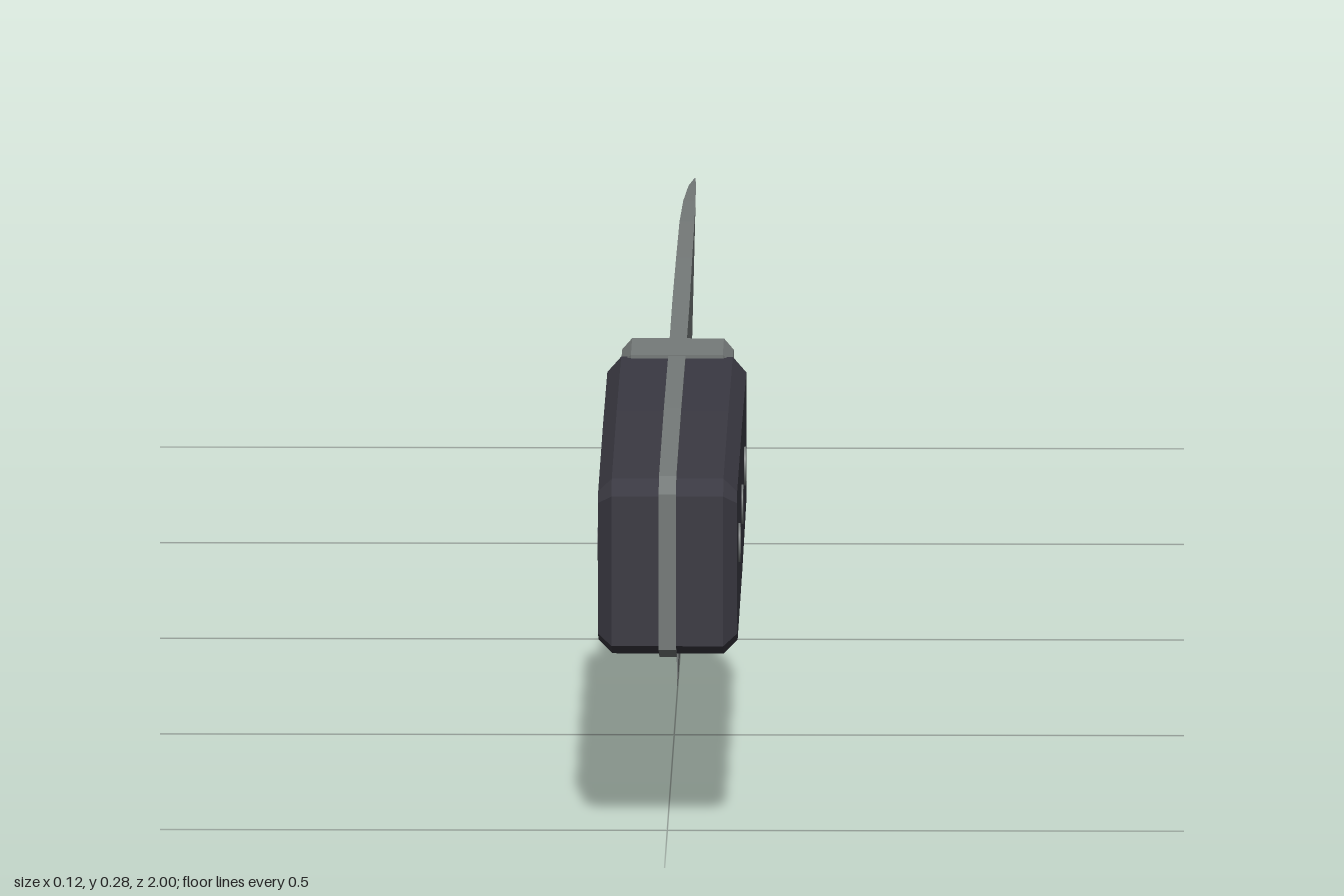
import * as THREE from 'three';

const steel = new THREE.MeshStandardMaterial({ name: 'steel', color: 0x757a79 });
const black = new THREE.MeshStandardMaterial({ name: 'handle black', color: 0x3a3942 });

// Side profile given as [z, y] points, extruded across x with chamfered rims
function slab(name, points, halfWidth, chamfer, material) {
  const shape = new THREE.Shape(points.map(([z, y]) => new THREE.Vector2(-z, y)));
  const depth = 2 * (halfWidth - chamfer);
  const geometry = new THREE.ExtrudeGeometry(shape, {
    depth,
    bevelEnabled: chamfer > 0,
    bevelSegments: 1,
    bevelSize: chamfer,
    bevelThickness: chamfer,
    bevelOffset: -chamfer,
  });
  geometry.translate(0, 0, -depth / 2);
  geometry.rotateY(Math.PI / 2);
  const mesh = new THREE.Mesh(geometry, material);
  mesh.name = name;
  return mesh;
}

// Wedge-shaped blade from triangular sections: z, spine y, edge y, spine half thickness
function blade() {
  const sections = [
    [0.265, 0.277, 0, 0.007],
    [0, 0.277, 0, 0.007],
    [-0.22, 0.277, 0.003, 0.0065],
    [-0.42, 0.275, 0.023, 0.006],
    [-0.6, 0.264, 0.063, 0.005],
    [-0.8, 0.245, 0.131, 0.003],
    [-0.92, 0.23, 0.183, 0.0015],
    [-1, 0.22, 0.219, 0.0003],
  ];
  const positions = [];
  const index = [];
  sections.forEach(([z, spine, edge, t], i) => {
    positions.push(t, spine, z, -t, spine, z, 0, edge, z);
    if (i === 0) return;
    const [l, r, e] = [3 * i - 3, 3 * i - 2, 3 * i - 1];
    const quad = (a, b, c, d) => index.push(a, b, c, a, c, d);
    quad(e, e + 3, l + 3, l);
    quad(e + 3, e, r, r + 3);
    quad(l, l + 3, r + 3, r);
  });
  const last = 3 * (sections.length - 1);
  index.push(2, 0, 1, last + 2, last + 1, last);
  const indexed = new THREE.BufferGeometry();
  indexed.setAttribute('position', new THREE.Float32BufferAttribute(positions, 3));
  indexed.setIndex(index);
  const geometry = indexed.toNonIndexed();
  geometry.computeVertexNormals();
  const mesh = new THREE.Mesh(geometry, steel);
  mesh.name = 'blade';
  return mesh;
}

export function createModel() {
  const knife = new THREE.Group();
  knife.name = 'kitchenKnife';
  knife.add(blade());

  // Handle body, with the full tang standing slightly proud of it
  const outline = [
    [0.3, 0.277], [0.62, 0.283], [0.975, 0.283], [0.999, 0.272],
    [0.999, 0.15], [0.94, 0.135], [0.6, 0.139], [0.3, 0.15],
  ];
  knife.add(slab('handle', outline, 0.056, 0.011, black));
  const tang = outline.map(([z, y]) => [z > 0.99 ? 1 : z, y + (y > 0.2 ? 0.002 : -0.003)]);
  knife.add(slab('tang', tang, 0.007, 0, steel));

  // Bolster between handle and blade
  const collar = [[0.222, 0.28], [0.309, 0.28], [0.309, 0.146], [0.222, 0.146]];
  knife.add(slab('bolster', collar, 0.045, 0.008, steel));

  // Three rivets on each side; the outer pair on the right is dark
  for (const side of [1, -1]) {
    for (const z of [0.46, 0.66, 0.86]) {
      const dark = side < 0 && z !== 0.66;
      const rivet = new THREE.Mesh(new THREE.CylinderGeometry(0.016, 0.016, 0.008, 12), dark ? black : steel);
      rivet.name = side > 0 ? 'leftRivet' : 'rightRivet';
      rivet.rotation.z = -side * Math.PI / 2;
      rivet.position.set(side * 0.0535, 0.213, z);
      knife.add(rivet);
    }
  }
  return knife;
}
